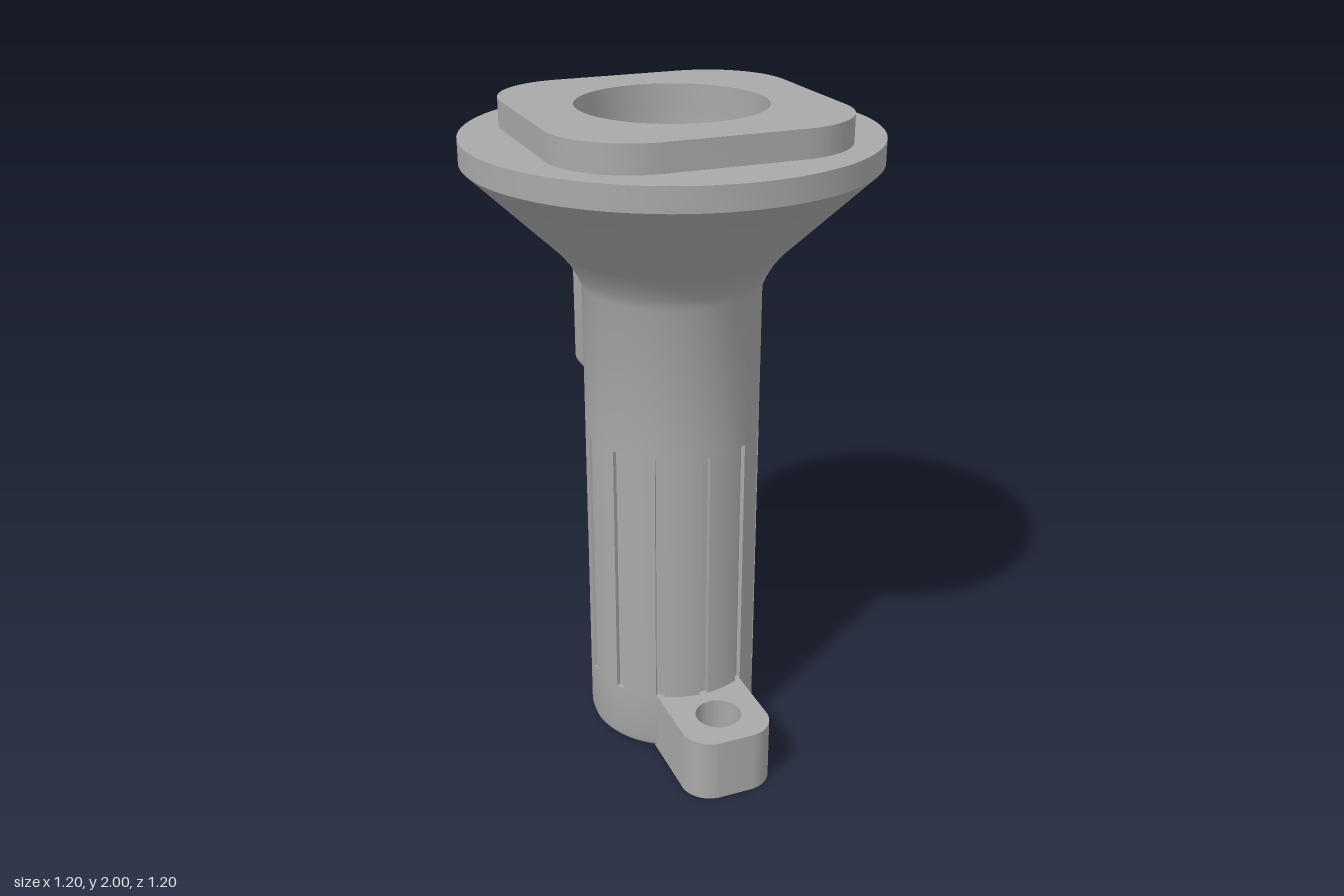
import * as THREE from 'three';
import { toCreasedNormals } from 'three/addons/utils/BufferGeometryUtils.js';
import { ConvexGeometry } from 'three/addons/geometries/ConvexGeometry.js';

const grey = new THREE.MeshStandardMaterial({ color: 0xa8a8a8 });
grey.name = 'grey plastic';

export function createModel() {
  const model = new THREE.Group();
  const V = (x, y, z) => new THREE.Vector3(x, y, z);

  const add = (name, geometry, crease = 0.5) => {
    const mesh = new THREE.Mesh(crease ? toCreasedNormals(geometry, crease) : geometry, grey);
    mesh.name = name;
    model.add(mesh);
    return mesh;
  };
  const lathe = (name, pts) =>
    add(name, new THREE.LatheGeometry(pts.map(p => new THREE.Vector2(...p)), 96));
  const extrude = (shape, depth) =>
    new THREE.ExtrudeGeometry(shape, { depth, bevelEnabled: false, curveSegments: 24 });
  // Slab lying flat: shape y becomes -z, thickness runs up from y0
  const slab = (name, shape, y0, height) =>
    add(name, extrude(shape, height).rotateX(-Math.PI / 2).translate(0, y0, 0));
  const circle = (r, x = 0, y = 0) => new THREE.Path().absarc(x, y, r, 0, Math.PI * 2, true);
  const roundedRect = (w, h, r) => {
    const s = new THREE.Shape();
    s.absarc(w - r, h - r, r, 0, Math.PI / 2);
    s.absarc(r - w, h - r, r, Math.PI / 2, Math.PI);
    s.absarc(r - w, r - h, r, Math.PI, Math.PI * 1.5);
    s.absarc(w - r, r - h, r, Math.PI * 1.5, Math.PI * 2);
    s.closePath();
    return s;
  };
  const stadium = (halfLength, r) => {
    const s = new THREE.Path();
    s.absarc(halfLength - r, 0, r, Math.PI / 2, -Math.PI / 2, true);
    s.absarc(r - halfLength, 0, r, -Math.PI / 2, -Math.PI * 1.5, true);
    s.closePath();
    return s;
  };

  // Floor in two steps, with a strap slot that widens inside
  [[0, 0.04, 0.13, 0.045], [0.04, 0.03, 0.16, 0.07]].forEach(([y, h, l, r]) => {
    const s = new THREE.Shape().absarc(0, 0, 0.228, 0, Math.PI * 2);
    s.holes.push(stadium(l, r));
    slab('floor', s, y, h);
  });

  // Rounded foot of the handle
  lathe('handleFoot', [[0.225, 0], [0.23, 0], [0.248, 0.005], [0.26, 0.017], [0.265, 0.035],
    [0.265, 0.2], [0.245, 0.2]]);

  // Grip with twelve narrow grooves
  const R = 0.265, halfAngle = 0.05;
  const grip = new THREE.Shape();
  for (let i = 0; i < 12; i++) {
    const a = i * Math.PI / 6;
    const start = a + halfAngle, end = a + Math.PI / 6 - halfAngle;
    for (const t of [-halfAngle, halfAngle]) {
      const x = 0.252 * Math.cos(a + t), y = 0.252 * Math.sin(a + t);
      if (i === 0 && t < 0) grip.moveTo(x, y); else grip.lineTo(x, y);
    }
    for (let k = 0; k <= 6; k++) {
      const b = start + (end - start) * k / 6;
      grip.lineTo(R * Math.cos(b), R * Math.sin(b));
    }
  }
  grip.closePath();
  grip.holes.push(circle(0.24));
  slab('groovedGrip', grip, 0.2, 0.82);

  // Upper handle flaring into the round flange
  lathe('flaredHead', [[0.24, 1.02], [0.265, 1.02], [0.265, 1.48], [0.28, 1.515], [0.303, 1.555],
    [0.335, 1.595], [0.6, 1.85], [0.6, 1.92], [0.275, 1.92]]);

  // Rounded square mounting plate
  const plate = roundedRect(0.438, 0.438, 0.24);
  plate.holes.push(circle(0.275));
  slab('mountingPlate', plate, 1.92, 0.08);

  // Inner bore, facing inward, narrowing toward the floor
  lathe('bore', [[0.275, 1.93], [0.275, 1.58], [0.24, 1.5], [0.22, 1.45], [0.215, 1.3], [0.17, 0.07]]);

  // Helical thread inside the mouth
  const helix = [];
  for (let i = 0; i <= 160; i++) {
    const a = i / 160 * Math.PI * 8;
    helix.push(V(0.271 * Math.cos(a), 1.92 - 0.32 * i / 160, 0.271 * Math.sin(a)));
  }
  add('thread', new THREE.TubeGeometry(new THREE.CatmullRomCurve3(helix), 320, 0.018, 8), 0);

  // Ledge on the front wall of the bore
  const ledge = new THREE.Shape();
  const la = Math.asin(0.165 / 0.225);
  ledge.absarc(0, 0, 0.225, -Math.PI + la, -la);
  ledge.closePath();
  slab('boreLedge', ledge, 0.9, 0.2);

  // Plunger end inside the back wall
  add('plunger', new THREE.BoxGeometry(0.1, 0.1, 0.06).translate(0, 1.27, -0.2));

  // Lanyard tab with a vertical hole
  const tab = new THREE.Shape();
  tab.moveTo(0.14, -0.2);
  tab.lineTo(-0.14, -0.2);
  tab.lineTo(-0.14, -0.43);
  tab.absarc(-0.05, -0.43, 0.09, Math.PI, Math.PI * 1.5);
  tab.absarc(0.05, -0.43, 0.09, Math.PI * 1.5, Math.PI * 2);
  tab.closePath();
  tab.holes.push(circle(0.07, 0, -0.38));
  slab('lanyardTab', tab, 0, 0.2);

  // Switch housing with button hole, on the back
  const housing = roundedRect(0.187, 0.185, 0.05);
  housing.holes.push(circle(0.082));
  add('switchHousing', extrude(housing, 0.16).translate(0, 1.285, -0.36));

  // Sloped support below and small gusset above the housing
  const mirrored = pts => new ConvexGeometry(pts.flatMap(([x, y, z]) => [V(x, y, z), V(-x, y, z)]));
  add('housingSupport', mirrored([[0.14, 1.1, -0.36], [0.183, 1.14, -0.2],
    [0.187, 0.92, -0.185], [0.1, 1.14, -0.2], [0.16, 1.1, -0.2]]));
  add('housingGusset', mirrored([[0.03, 1.53, -0.28], [0.13, 1.46, -0.28],
    [0.17, 1.46, -0.2], [0.03, 1.53, -0.2]]));

  // Domed push button
  const button = lathe('pushButton', [[0.07, 0], [0.07, 0.15], [0.064, 0.163], [0.052, 0.171],
    [0.03, 0.175], [0, 0.176]]);
  button.rotation.x = -Math.PI / 2;
  button.position.set(0, 1.27, -0.25);

  return model;
}
